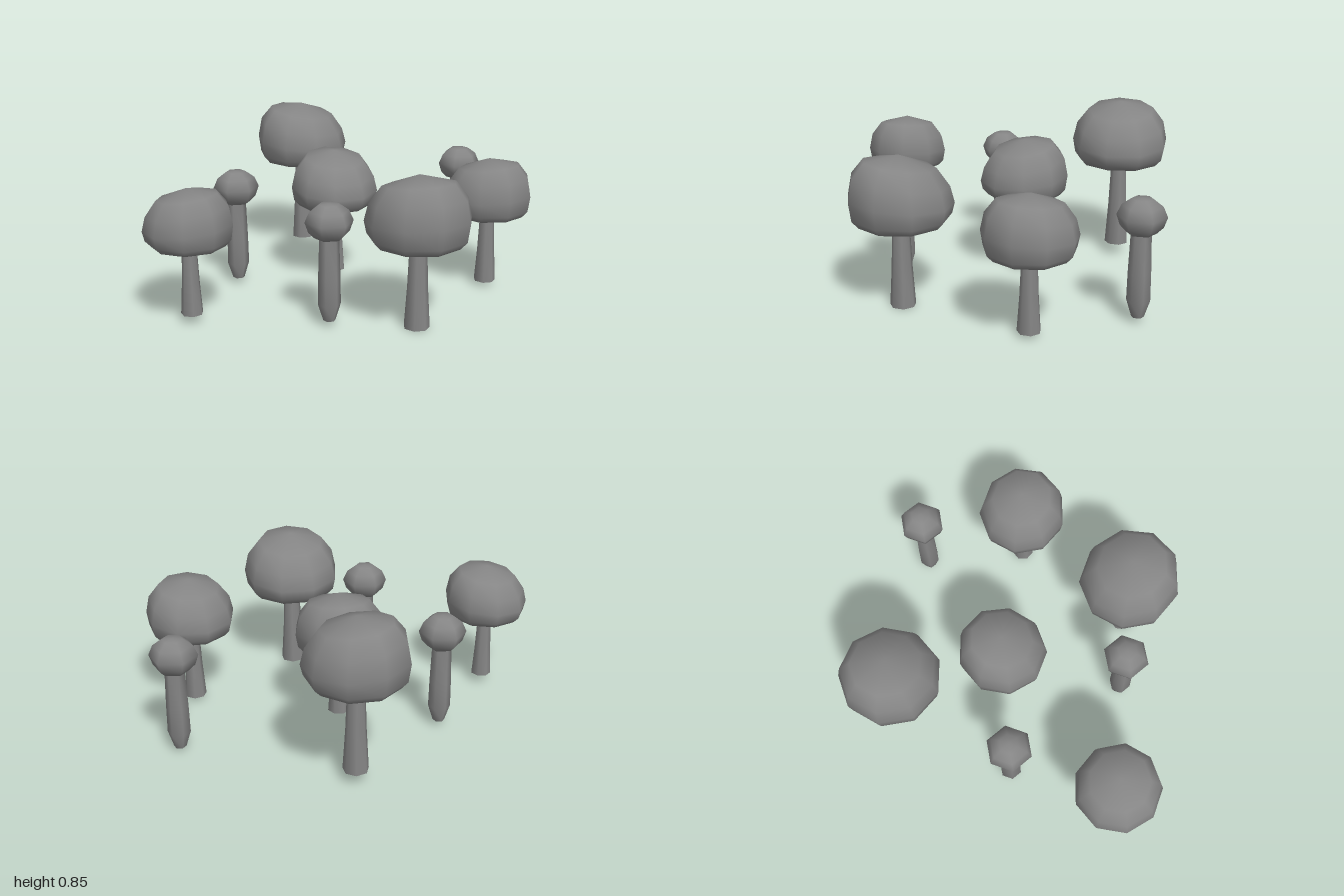
import * as THREE from 'three';
import { mergeVertices } from 'three/addons/utils/BufferGeometryUtils.js';

// Stems are open underneath, so both faces show
const material = new THREE.MeshStandardMaterial({ color: 0x858585, side: THREE.DoubleSide });

// Low-sided lathe with welded, smooth normals; warp(v) may move each vertex.
function turned(name, profile, sides, phi, warp) {
  const points = profile.map(([r, y]) => new THREE.Vector2(r, y));
  let geo = new THREE.LatheGeometry(points, sides, phi);
  geo.deleteAttribute('uv');
  geo.deleteAttribute('normal');
  if (warp) {
    const pos = geo.attributes.position;
    const v = new THREE.Vector3();
    for (let i = 0; i < pos.count; i++) {
      warp(v.fromBufferAttribute(pos, i));
      pos.setXYZ(i, v.x, v.y, v.z);
    }
  }
  geo = mergeVertices(geo, 1e-4);
  geo.computeVertexNormals();
  const mesh = new THREE.Mesh(geo, material);
  mesh.name = name;
  return mesh;
}

// Profiles for a cap of radius 1, running from the hollow underside to the apex
const CAP = [[0.12, 0.2], [0.4, 0.16], [0.62, 0.03], [0.82, 0], [0.95, 0.14], [1, 0.42],
  [0.92, 0.78], [0.68, 1.1], [0, 1.28]];
const BUTTON_CAP = [[0.04, 0.46], [0.07, 0.445], [0.1, 0.475], [0.117, 0.525],
  [0.095, 0.575], [0.05, 0.608], [0, 0.611]];
const BUTTON_STEM = [[0.03, 0.027], [0.056, 0.11], [0.054, 0.25], [0.047, 0.47]];

// Wide mushroom: flared stem and a lopsided cap, raised toward lean = [x, z]
function wideMushroom({ x, z, r, base, rim, phi, lean }) {
  const group = new THREE.Group();
  group.name = 'wideMushroom';
  const cap = turned('cap', CAP, 9, phi, (v) => {
    const upper = THREE.MathUtils.smoothstep(v.y, 0.05, 0.7);
    v.y += 0.14 * (lean[0] * v.x + lean[1] * v.z) * upper;
  });
  cap.scale.setScalar(r);
  cap.position.y = rim;
  const top = rim + 0.25 * r;
  const stem = turned('stem', [[0.25 * r, base], [0.2 * r, base + (top - base) * 0.4],
    [0.155 * r, top]], 7, phi);
  group.add(cap, stem);
  group.position.set(x, 0, z);
  return group;
}

// Small button mushroom: six-sided cap and a stem tapering to a blunt point
function buttonMushroom(x, z) {
  const group = new THREE.Group();
  group.name = 'buttonMushroom';
  const phi = THREE.MathUtils.degToRad(20);
  group.add(turned('buttonCap', BUTTON_CAP, 6, phi), turned('buttonStem', BUTTON_STEM, 6, phi));
  group.position.set(x, 0, z);
  return group;
}

export function createModel() {
  const model = new THREE.Group();
  model.name = 'mushroomCluster';
  const wide = [
    { x: -0.6, z: -0.405, r: 0.252, base: 0.063, rim: 0.525, phi: Math.PI, lean: [-1, 0.4] },
    { x: -0.12, z: -0.1, r: 0.225, base: 0.06, rim: 0.42, phi: 0, lean: [-1, -0.5] },
    { x: 0.55, z: -0.535, r: 0.227, base: 0.022, rim: 0.395, phi: Math.PI, lean: [0.9, 0] },
    { x: 0.587, z: 0.155, r: 0.258, base: 0, rim: 0.427, phi: Math.PI, lean: [1, 0.5] },
    { x: -0.295, z: 0.78, r: 0.217, base: 0.045, rim: 0.397, phi: 0, lean: [0.9, -0.3] },
  ];
  for (const spec of wide) model.add(wideMushroom(spec));
  for (const [x, z] of [[0.15, -0.887], [-0.487, 0.256], [0.25, 0.4]]) {
    model.add(buttonMushroom(x, z));
  }
  return model;
}
